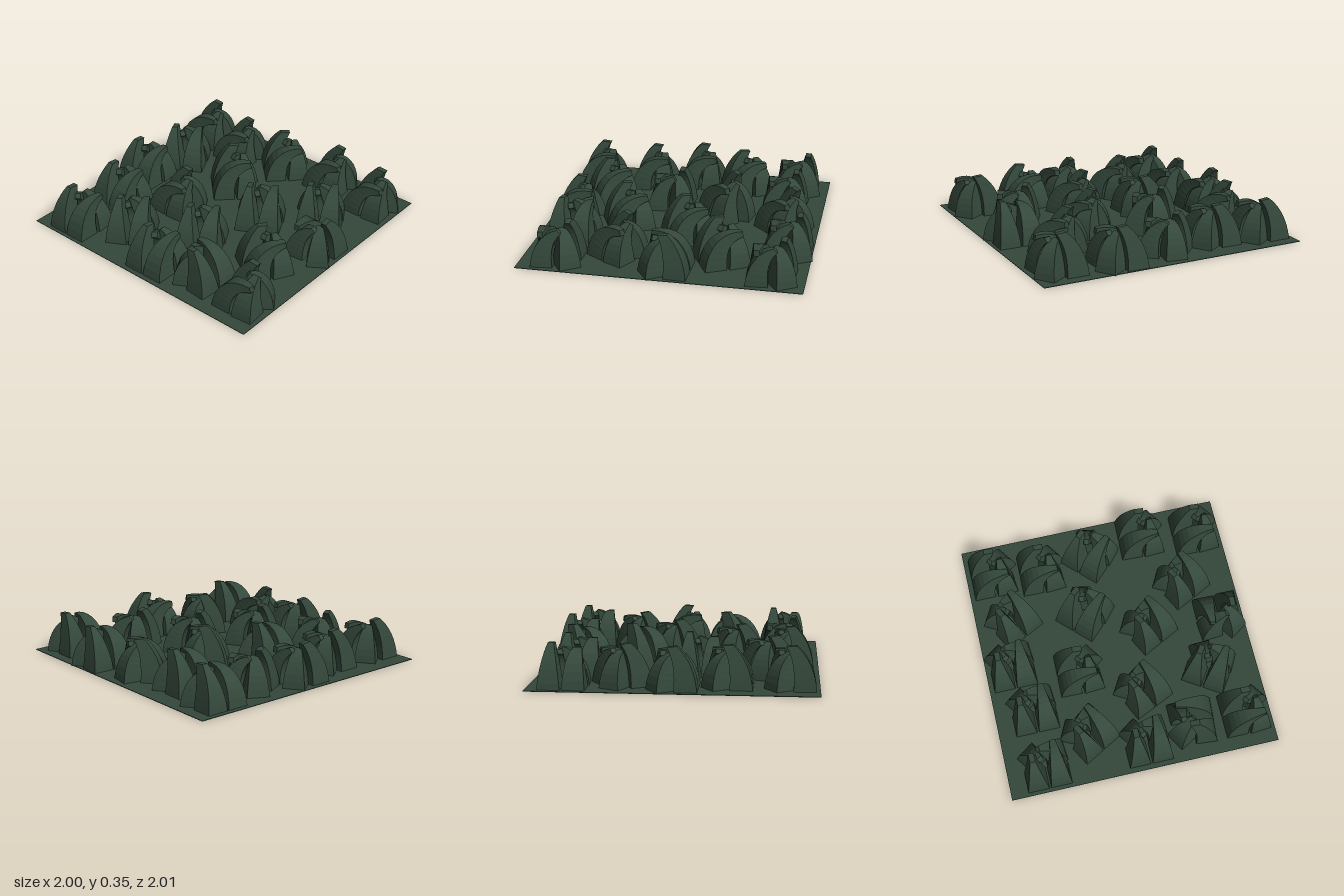
import * as THREE from 'three';

const material = new THREE.MeshStandardMaterial({ color: 0x34483b, flatShading: true, side: THREE.DoubleSide });
const BASE = 0.079; // half width of a blade at the ground

// Square blade that tapers and bends along +x; sections lean over by `tilt` at the tip
function bladeGeometry({ ctrl, end, tilt, tipDepth = 0.02, tipWidth = 0.02 }) {
  const path = new THREE.QuadraticBezierCurve(
    new THREE.Vector2(0, 0), new THREE.Vector2(...ctrl), new THREE.Vector2(...end));
  const rings = 8, pos = [], index = [];
  for (let i = 0; i <= rings; i++) {
    const t = i / rings, c = path.getPoint(t), k = Math.pow(t, 1.2), a = -tilt * t;
    const d = THREE.MathUtils.lerp(BASE, tipDepth, k);
    const w = THREE.MathUtils.lerp(BASE, tipWidth, k);
    for (const [sx, sz] of [[-1, -1], [-1, 1], [1, 1], [1, -1]])
      pos.push(c.x + sx * d * Math.cos(a), Math.max(0, c.y + sx * d * Math.sin(a)), sz * w);
  }
  for (let i = 0; i < rings; i++)
    for (let j = 0; j < 4; j++) {
      const a = i * 4 + j, b = i * 4 + (j + 1) % 4;
      index.push(a, b, b + 4, a, b + 4, a + 4);
    }
  const n = rings * 4;
  index.push(n, n + 1, n + 2, n, n + 2, n + 3, 0, 2, 1, 0, 3, 2);
  const g = new THREE.BufferGeometry();
  g.setAttribute('position', new THREE.Float32BufferAttribute(pos, 3));
  g.setIndex(index);
  g.computeVertexNormals();
  return g;
}

// The four blades of a clump: cell position, heading in degrees, shape
const blades = [
  { name: 'tallBlade', x: -0.085, z: -0.085, heading: 0,
    geo: bladeGeometry({ ctrl: [0.0, 0.2], end: [0.095, 0.305], tilt: 0.1, tipDepth: 0.035 }) },
  { name: 'hookedBlade', x: -0.085, z: 0.085, heading: 0,
    geo: bladeGeometry({ ctrl: [0.01, 0.24], end: [0.21, 0.235], tilt: 1.4 }) },
  { name: 'innerBlade', x: 0.085, z: 0.085, heading: 95,
    geo: bladeGeometry({ ctrl: [0.0, 0.2], end: [0.12, 0.25], tilt: 0.8 }) },
  { name: 'backBlade', x: 0.085, z: -0.085, heading: 215,
    geo: bladeGeometry({ ctrl: [0.0, 0.2], end: [0.1, 0.24], tilt: 0.9 }) },
];

// Clumps: x, z, turn in degrees, height factor
const clumps = [
  [-0.80, -0.75, 0], [-0.43, -0.70, -1], [-0.03, -0.75, 45], [0.38, -0.82, -2], [0.80, -0.76, -1],
  [-0.72, -0.36, 117], [-0.17, -0.29, 45, 1.13], [0.60, -0.38, 117], [-0.80, 0.01, 90],
  [0.27, -0.08, 117], [0.81, -0.04, -91], [-0.32, 0.16, -1], [-0.71, 0.38, 90], [0.11, 0.40, 115],
  [0.64, 0.34, 57], [-0.35, 0.64, 119], [-0.71, 0.81, 90], [0.05, 0.80, 90],
  [0.41, 0.73, 175], [0.80, 0.74, 0],
];

export function createModel() {
  const model = new THREE.Group();
  model.name = 'grassPatch';

  // Thin square of ground
  const ground = new THREE.Mesh(new THREE.BoxGeometry(2, 0.004, 2), material);
  ground.name = 'ground';
  ground.position.y = 0.003;
  model.add(ground);

  // Clumps of curved blades
  for (const [x, z, turn, height = 1] of clumps) {
    const clump = new THREE.Group();
    clump.name = 'grassClump';
    clump.position.set(x, 0, z);
    clump.rotation.y = THREE.MathUtils.degToRad(turn);
    clump.scale.y = height;
    for (const b of blades) {
      const blade = new THREE.Mesh(b.geo, material);
      blade.name = b.name;
      blade.position.set(b.x, 0, b.z);
      blade.rotation.y = THREE.MathUtils.degToRad(b.heading);
      clump.add(blade);
    }
    model.add(clump);
  }
  return model;
}
